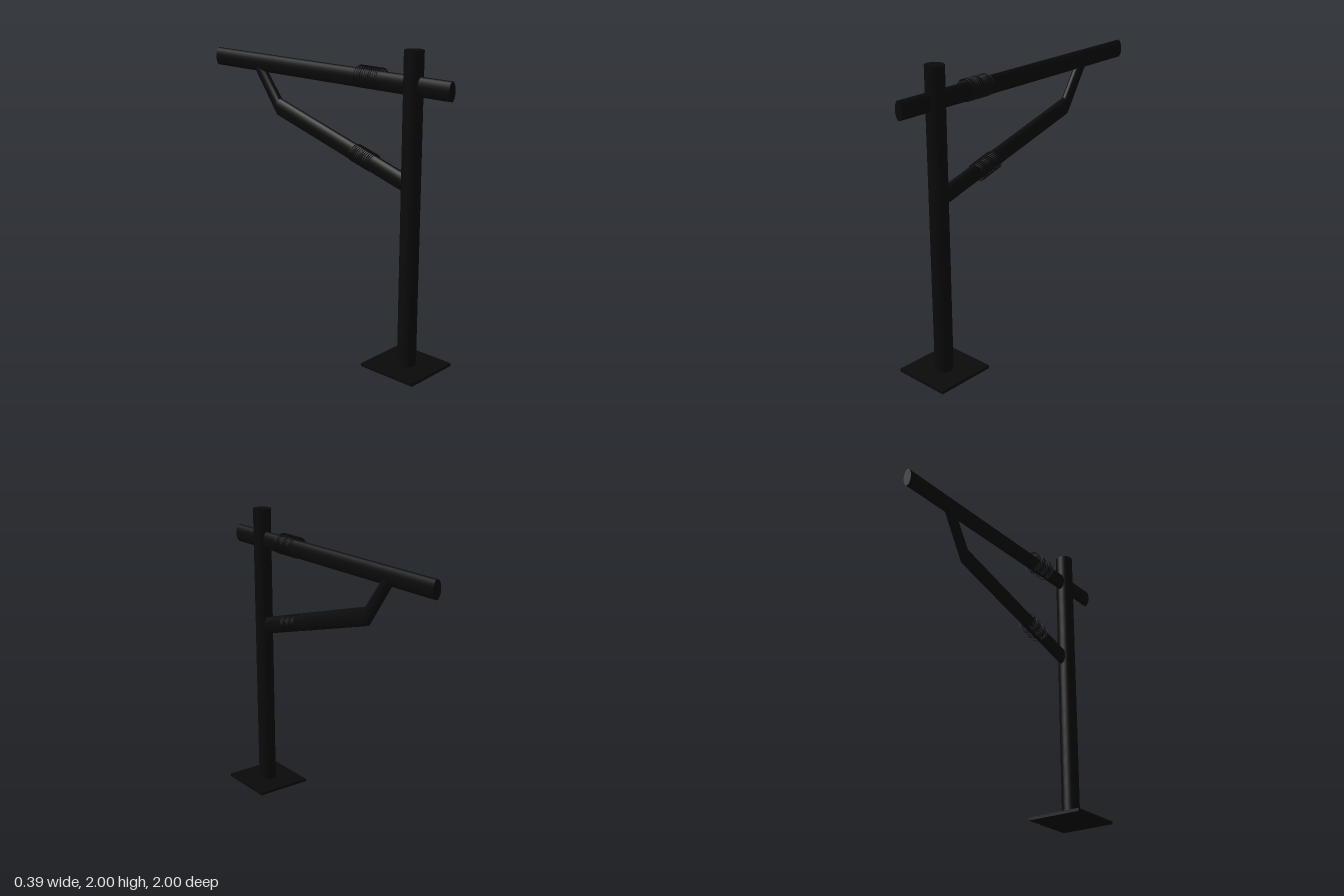
import * as THREE from 'three';
import { toCreasedNormals } from 'three/addons/utils/BufferGeometryUtils.js';

const black = new THREE.MeshStandardMaterial({ color: 0x0a0a0a });

function part(name, geometry, x = 0, y = 0, z = 0) {
  const mesh = new THREE.Mesh(geometry, black);
  mesh.name = name;
  mesh.position.set(x, y, z);
  return mesh;
}

// Closed loft through elliptical sections: centre, half width in x, half-height vector in y and z
function loft(sections, sides = 48) {
  const pos = [], index = [];
  const n = sections.length;
  for (const { c, w, h } of sections) {
    for (let i = 0; i < sides; i++) {
      const a = (i / sides) * Math.PI * 2;
      const s = Math.sin(a);
      pos.push(c[0] + w * Math.cos(a), c[1] + h[0] * s, c[2] + h[1] * s);
    }
  }
  for (let k = 0; k < n - 1; k++) {
    for (let i = 0; i < sides; i++) {
      const a = k * sides + i, b = k * sides + (i + 1) % sides;
      index.push(a, b, a + sides, b, b + sides, a + sides);
    }
  }
  // sections advance toward -z, so the side winding is reversed to face outward
  for (let i = 0; i < index.length; i += 3) {
    [index[i + 1], index[i + 2]] = [index[i + 2], index[i + 1]];
  }
  // end caps
  const last = (n - 1) * sides;
  for (let i = 1; i < sides - 1; i++) {
    index.push(0, i, i + 1, last, last + i + 1, last + i);
  }
  const g = new THREE.BufferGeometry();
  g.setAttribute('position', new THREE.Float32BufferAttribute(pos, 3));
  g.setIndex(index);
  return toCreasedNormals(g, 0.5);
}

// Wire helix along z
class Helix extends THREE.Curve {
  constructor(rx, ry, length, turns) {
    super();
    Object.assign(this, { rx, ry, length, turns });
  }
  getPoint(t, target = new THREE.Vector3()) {
    const a = t * this.turns * Math.PI * 2;
    return target.set(this.rx * Math.cos(a), this.ry * Math.sin(a), (t - 0.5) * this.length);
  }
}

function coil(name, rx, ry, length, x, y, z) {
  const turns = 12;
  const curve = new Helix(rx, ry, length, turns);
  curve.arcLengthDivisions = 1200;
  return part(name, new THREE.TubeGeometry(curve, turns * 40, 0.003, 6), x, y, z);
}

export function createModel() {
  const group = new THREE.Group();
  group.name = 'postWithArm';

  // Base plate and upright post
  group.add(part('basePlate', new THREE.BoxGeometry(0.39, 0.02, 0.41), 0, 0.01, 0.715));
  group.add(part('post', new THREE.CylinderGeometry(0.06, 0.06, 1.99, 48), 0, 1.005, 0.72));

  // Flattened horizontal beam
  const beam = new THREE.CylinderGeometry(0.06, 0.06, 2, 48);
  beam.rotateX(Math.PI / 2);
  beam.scale(0.5, 1, 1);
  group.add(part('beam', beam, 0, 1.79, 0));

  // Bent brace from the post up to the underside of the beam
  group.add(part('brace', loft([
    { c: [0.005, 1.183, 0.7], w: 0.03, h: [0.06, 0] },
    { c: [0.015, 1.508, -0.42], w: 0.03, h: [0.058, 0.013] },
    { c: [0, 1.79, -0.613], w: 0.028, h: [0, 0.047] },
  ])));

  // Wire windings round the beam and the brace
  group.add(coil('beamCoil', 0.067, 0.067, 0.19, 0.002, 1.8, 0.395));
  const braceCoil = coil('braceCoil', 0.065, 0.054, 0.17, 0.015, 1.289, 0.335);
  braceCoil.rotation.x = Math.atan2(0.325, 1.12);
  group.add(braceCoil);

  return group;
}
